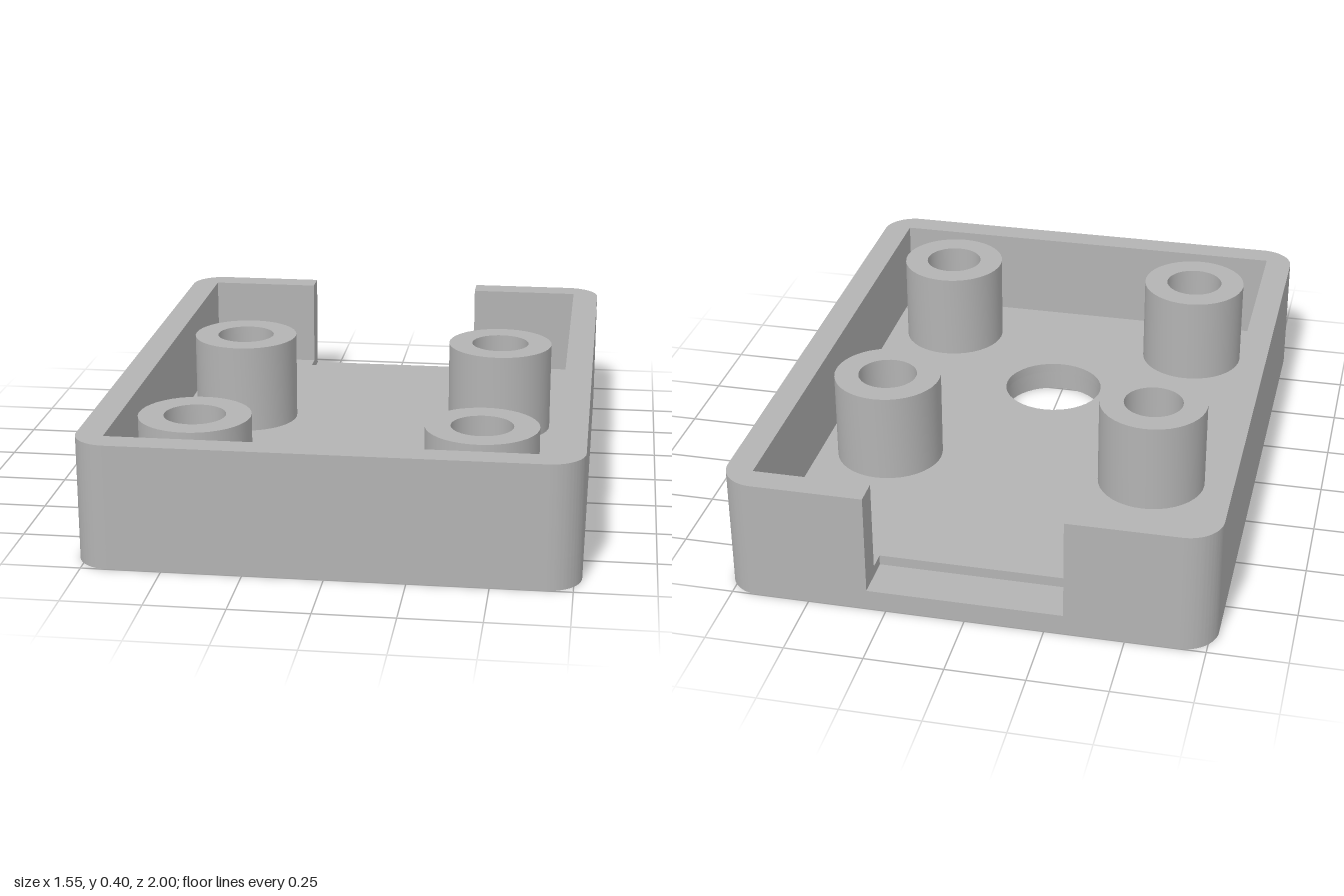
import * as THREE from 'three';
import { toCreasedNormals } from 'three/addons/utils/BufferGeometryUtils.js';

const HX = 0.774, HZ = 1, R = 0.11;      // outer half sizes and corner radius
const IX = 0.685, IZ = 0.913;            // inner half sizes
const NOTCH_X = 0.31, NOTCH_Z = 0.85;    // cable notch in the back edge
const SILL = 0.067, FLOOR = 0.1, TOP = 0.4;
const POST_R = 0.178, HOLE_R = 0.098;
const posts = [[-0.45, -0.225], [0.45, -0.225], [-0.45, 0.675], [0.45, 0.675]];

// Plan shapes are drawn with shape y = -z, so the back is at +y.
function outline() {
  const s = new THREE.Shape();
  s.absarc(-HX + R, HZ - R, R, Math.PI / 2, Math.PI, false);
  s.absarc(-HX + R, -HZ + R, R, Math.PI, Math.PI * 1.5, false);
  s.absarc(HX - R, -HZ + R, R, Math.PI * 1.5, Math.PI * 2, false);
  s.absarc(HX - R, HZ - R, R, 0, Math.PI / 2, false);
  return s;
}

function circle(x, z, r) {
  return new THREE.Path().absarc(x, -z, r, 0, Math.PI * 2, true);
}

function addFloorHoles(s) {
  posts.forEach(([x, z]) => s.holes.push(circle(x, z, HOLE_R)));
  s.holes.push(circle(0, 0.335, 0.17));
  return s;
}

function slab(shape, y0, y1) {
  const g = new THREE.ExtrudeGeometry(shape, { depth: y1 - y0, bevelEnabled: false, curveSegments: 20 });
  g.rotateX(-Math.PI / 2).translate(0, y0, 0);
  return toCreasedNormals(g, Math.PI / 6);
}

export function createModel() {
  const group = new THREE.Group();
  const grey = new THREE.MeshStandardMaterial({ color: 0xb3b3b3 });
  grey.name = 'plain grey';
  const add = (name, geometry) => {
    const mesh = new THREE.Mesh(geometry, grey);
    mesh.name = name;
    group.add(mesh);
  };

  // Base plate, running under the notch
  add('basePlate', slab(addFloorHoles(outline()), 0, SILL));

  // Upper floor layer, recessed at the notch
  const floor = outline();
  floor.lineTo(NOTCH_X, HZ);
  floor.lineTo(NOTCH_X, NOTCH_Z);
  floor.lineTo(-NOTCH_X, NOTCH_Z);
  floor.lineTo(-NOTCH_X, HZ);
  add('floor', slab(addFloorHoles(floor), SILL, FLOOR));

  // Perimeter wall, open at the notch, with square inner corners
  const wall = outline();
  [[NOTCH_X, HZ], [NOTCH_X, IZ], [IX, IZ], [IX, -IZ], [-IX, -IZ], [-IX, IZ],
    [-NOTCH_X, IZ], [-NOTCH_X, HZ]].forEach(([x, y]) => wall.lineTo(x, y));
  add('wall', slab(wall, FLOOR, TOP));

  // Hollow screw posts
  posts.forEach(([x, z], i) => {
    const ring = new THREE.Shape().absarc(x, -z, POST_R, 0, Math.PI * 2, false);
    ring.holes.push(circle(x, z, HOLE_R));
    add('screwPost' + (i + 1), slab(ring, FLOOR, TOP));
  });

  return group;
}
